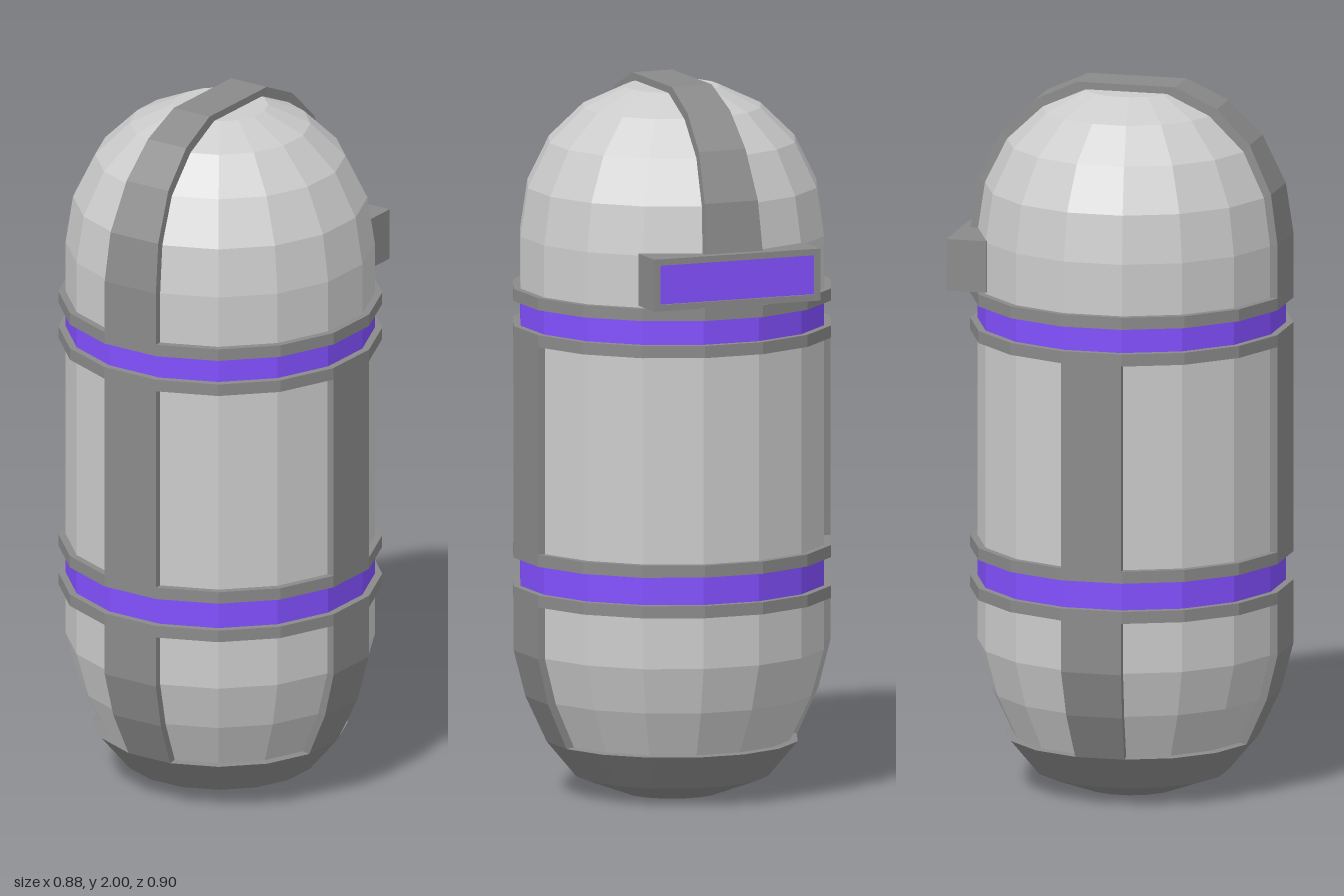
import * as THREE from 'three';

const SIDES = 16;
const paint = (color) => new THREE.MeshStandardMaterial({ color, flatShading: true, side: THREE.DoubleSide });

export function createModel() {
  const model = new THREE.Group();
  model.name = 'capsulePod';
  const shell = paint(0xcccccc), trim = paint(0x8a8a8a), glow = paint(0x8250ff);

  // Capsule sits slightly forward of the back plate
  const capsule = new THREE.Group();
  capsule.name = 'capsule';
  capsule.position.z = 0.01;
  model.add(capsule);

  const add = (parent, name, geometry, material) => {
    const mesh = new THREE.Mesh(geometry, material);
    mesh.name = name;
    parent.add(mesh);
    return mesh;
  };

  // 16-sided turned part with a flat facing each axis; radii measured to the flats
  const turned = (name, profile, material) => {
    const k = 1 / Math.cos(Math.PI / SIDES);
    const geo = new THREE.LatheGeometry(profile.map(([r, y]) => new THREE.Vector2(r * k, y)), SIDES);
    geo.rotateY(Math.PI / SIDES);
    return add(capsule, name, geo, material);
  };

  // Raised strip facing +z: rows of [outer z, outer y, inner z, inner y, half width]
  const ribbon = (rows) => {
    const pos = [], idx = [];
    rows.forEach(([oz, oy, iz, iy, w], r) => {
      pos.push(-w, oy, oz, w, oy, oz, w, iy, iz, -w, iy, iz);
      if (r === 0) return;
      for (let i = 0; i < 4; i++) {
        const a = (r - 1) * 4 + i, b = (r - 1) * 4 + (i + 1) % 4;
        idx.push(a, b, b + 4, a, b + 4, a + 4);
      }
    });
    const geo = new THREE.BufferGeometry();
    geo.setAttribute('position', new THREE.Float32BufferAttribute(pos, 3));
    geo.setIndex(idx);
    geo.computeVertexNormals();
    return geo;
  };

  // Shell sections
  turned('lowerShell', [[0.325, 0.15], [0.385, 0.28], [0.42, 0.41], [0.42, 0.59]], shell);
  turned('middleShell', [[0.42, 0.67], [0.42, 1.32]], shell);
  turned('dome', [[0.42, 1.39], [0.42, 1.57], [0.4, 1.705], [0.34, 1.83], [0.245, 1.925], [0.13, 1.98], [0, 1.98]], shell);

  // Glowing bands and the rims on either side of them
  for (const [y0, y1] of [[0.59, 0.67], [1.32, 1.39]]) {
    turned('glowBand', [[0.42, y0], [0.42, y1]], glow);
    for (const [a, b] of [[y0 - 0.034, y0], [y1, y1 + 0.034]]) {
      turned('bandRim', [[0.4, a], [0.44, a], [0.44, b], [0.4, b]], trim);
    }
  }

  // Bottom cap with a hollow thruster cone
  turned('bottomCap', [[0.13, 0], [0.265, 0.05], [0.347, 0.15], [0.3, 0.157]], trim);
  turned('thruster', [[0, 0.05], [0.13, 0]], glow);

  // Vertical strips on the front and both sides, one facet wide
  const middle = ribbon([[0.44, 0.7, 0.39, 0.7, 0.086], [0.44, 1.29, 0.39, 1.29, 0.086]]);
  const lower = ribbon([
    [0.347, 0.15, 0.29, 0.16, 0.07], [0.407, 0.28, 0.35, 0.29, 0.08],
    [0.44, 0.41, 0.39, 0.41, 0.086], [0.44, 0.56, 0.39, 0.56, 0.086],
  ]);
  for (const turn of [0, Math.PI / 2, -Math.PI / 2]) {
    add(capsule, 'middleStrip', middle, trim).rotation.y = turn;
    add(capsule, 'lowerStrip', lower, trim).rotation.y = turn;
  }

  // Strip running over the dome from front to back
  const half = [
    [0.44, 1.42, 0.38, 1.42, 0.086], [0.44, 1.575, 0.38, 1.56, 0.086], [0.42, 1.715, 0.36, 1.69, 0.08],
    [0.356, 1.85, 0.3, 1.8, 0.07], [0.26, 1.945, 0.21, 1.89, 0.064], [0.14, 2, 0.11, 1.94, 0.06],
  ];
  const backHalf = half.map(([oz, oy, iz, iy, w]) => [-oz, oy, -iz, iy, w]).reverse();
  add(capsule, 'domeStrip', ribbon([...half, ...backHalf]), trim);

  // Back plate: a frame around a recessed glowing panel
  const plate = new THREE.Group();
  plate.name = 'backPlate';
  plate.position.set(0, 1.503, 0);
  model.add(plate);
  const W = 0.25, H = 0.073, rim = 0.018;
  const rect = (Type, w, h) => new Type([[-w, -h], [w, -h], [w, h], [-w, h]].map(([x, y]) => new THREE.Vector2(x, y)));
  const outline = rect(THREE.Shape, W, H);
  outline.holes.push(rect(THREE.Path, W - rim, H - rim));
  const frame = new THREE.ExtrudeGeometry(outline, { depth: 0.115, bevelEnabled: false });
  add(plate, 'plateFrame', frame, trim).position.z = -0.455;
  const panel = add(plate, 'platePanel', new THREE.BoxGeometry(2 * (W - rim), 2 * (H - rim), 0.1), glow);
  panel.position.z = -0.398;

  return model;
}
